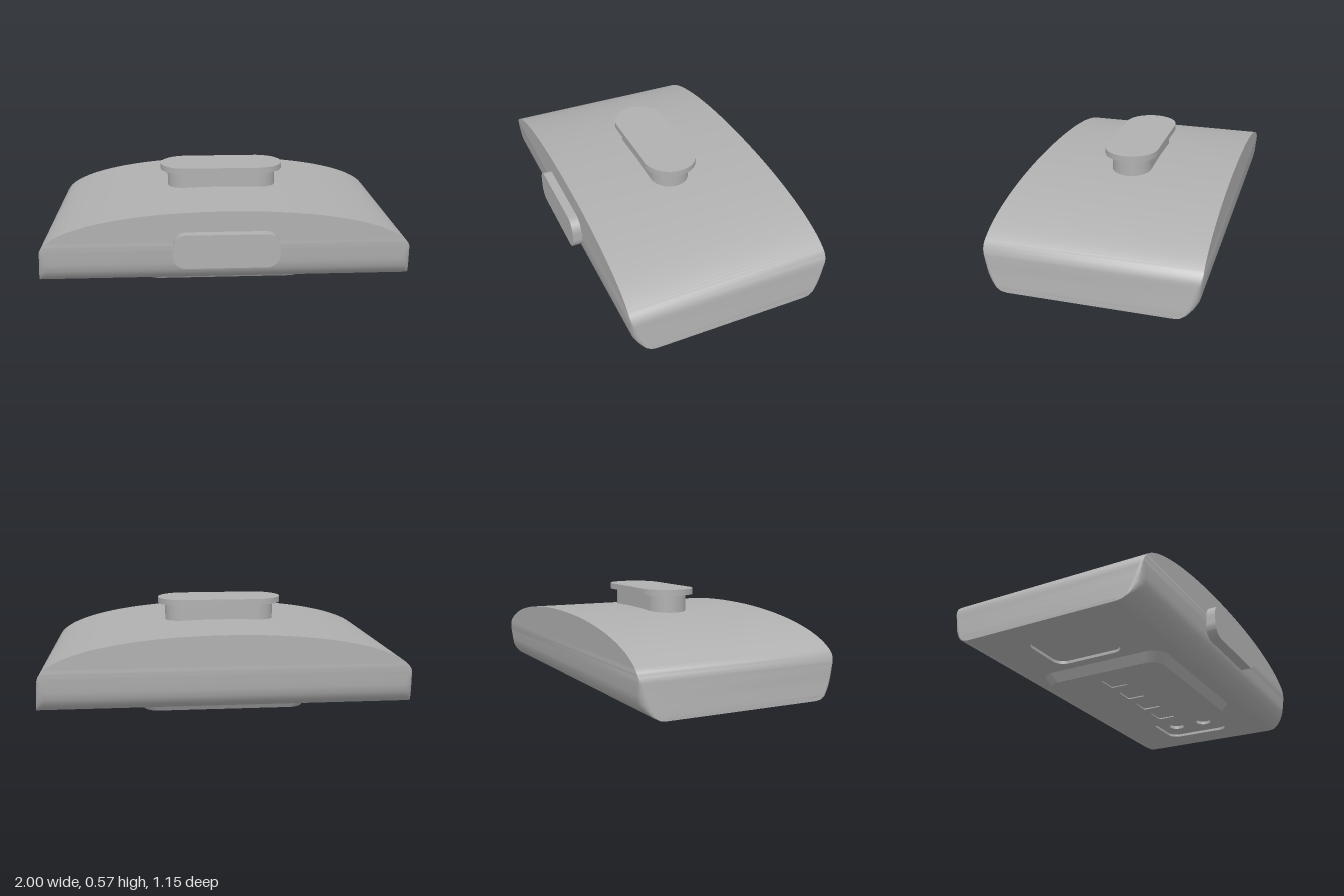
import * as THREE from 'three';
import { toCreasedNormals } from 'three/addons/utils/BufferGeometryUtils.js';

const ZC = -0.022; // middle of the body in depth

export function createModel() {
  const model = new THREE.Group();
  const grey = new THREE.MeshStandardMaterial({ color: 0xb0b0b0 });

  function add(name, geometry) {
    const mesh = new THREE.Mesh(toCreasedNormals(geometry, 0.6), grey);
    mesh.name = name;
    model.add(mesh);
    return mesh;
  }

  // Rounded rectangle with half sizes a, b and corner radius r
  function roundRect(a, b, r, cx = 0, cy = 0, Type = THREE.Shape) {
    const s = new Type();
    s.absarc(cx + a - r, cy + b - r, r, 0, Math.PI / 2);
    s.absarc(cx - a + r, cy + b - r, r, Math.PI / 2, Math.PI);
    s.absarc(cx - a + r, cy - b + r, r, Math.PI, Math.PI * 1.5);
    s.absarc(cx + a - r, cy - b + r, r, Math.PI * 1.5, Math.PI * 2);
    s.closePath();
    return s;
  }

  // Horizontal slab of a plan shape (shape y becomes z) between two heights
  function slab(shape, y0, y1) {
    return new THREE.ExtrudeGeometry(shape, { depth: y1 - y0, bevelEnabled: false, curveSegments: 16 })
      .rotateX(Math.PI / 2)
      .translate(0, y1, ZC);
  }

  // Body shell: plan outlines stacked from the bottom edge to the crown
  const depthProfile = [[0.05, 0.42], [0.055, 0.455], [0.07, 0.485], [0.085, 0.504], [0.1, 0.519],
    [0.13, 0.538], [0.17, 0.545], [0.22, 0.549], [0.28, 0.553], [1, 0.553]];
  function halfDepth(y) {
    let i = 1;
    while (depthProfile[i][0] < y) i++;
    const [y0, d0] = depthProfile[i - 1], [y1, d1] = depthProfile[i];
    return d0 + (d1 - d0) * (y - y0) / (y1 - y0);
  }
  const rows = [0.05, 0.055, 0.07, 0.085, 0.1, 0.13, 0.17].map(y => [1 - 0.02 * (y - 0.05) / 0.17, y]);
  const ARC = 36;
  for (let i = 0; i <= ARC; i++) {
    const t = (i / ARC) * Math.PI / 2, p = 2 / 2.1;
    rows.push([i === ARC ? 0 : 0.98 * Math.cos(t) ** p, 0.22 + 0.236 * Math.sin(t) ** p]);
  }
  const CORNER = 8, RING = 4 * (CORNER + 1);
  const pos = [], idx = [];
  rows.forEach(([w, y], i) => {
    const d = halfDepth(y);
    const flat = Math.min(d, 0.553 - 0.078 * Math.max(0, (0.28 - y) / 0.21));
    const rz = d - flat, rx = Math.min(w, rz * 1.3);
    for (let q = 0; q < 4; q++) {
      const sx = q === 0 || q === 3 ? 1 : -1, sz = q < 2 ? -1 : 1;
      for (let k = 0; k <= CORNER; k++) {
        const a = (q + k / CORNER) * Math.PI / 2;
        pos.push(sx * (w - rx) + rx * Math.cos(a), y, ZC + sz * flat - rz * Math.sin(a));
      }
    }
    if (i === 0) return;
    for (let j = 0; j < RING; j++) {
      const n = (j + 1) % RING, lo = (i - 1) * RING, hi = i * RING;
      idx.push(lo + j, lo + n, hi + n, lo + j, hi + n, hi + j);
    }
  });
  const shell = new THREE.BufferGeometry();
  shell.setAttribute('position', new THREE.Float32BufferAttribute(pos, 3));
  shell.setIndex(idx);
  add('bodyShell', shell);

  // Underside with two shallow recesses
  const under = new THREE.Shape([[-1, -0.42], [1, -0.42], [1, 0.42], [-1, 0.42]].map(p => new THREE.Vector2(...p)));
  for (const side of [1, -1]) under.holes.push(roundRect(0.15, 0.2, 0.06, side * 0.68, 0, THREE.Path));
  add('underside', slab(under, 0.05, 0.066));

  // Recess floors; the left one has two round sockets
  const socketFloor = roundRect(0.17, 0.22, 0.06, 0.68);
  for (const z of [-0.095, 0.095]) {
    const socket = new THREE.Path();
    socket.absarc(0.68, z, 0.047, 0, Math.PI * 2);
    socketFloor.holes.push(socket);
  }
  add('socketPanel', slab(socketFloor, 0.066, 0.086));
  add('socketBottom', slab(roundRect(0.17, 0.22, 0.06, 0.68), 0.086, 0.092));
  add('plainPanel', slab(roundRect(0.17, 0.22, 0.06, -0.68), 0.066, 0.076));

  // Foot pad, widening upward, with a row of shallow slots
  function taper(geometry) {
    const p = geometry.attributes.position;
    for (let i = 0; i < p.count; i++) {
      const f = p.getY(i) / 0.05;
      p.setX(i, p.getX(i) * (1 + 0.068 * f));
      p.setZ(i, ZC + (p.getZ(i) - ZC) * (1 + 0.087 * f));
    }
    return geometry;
  }
  const padFace = roundRect(0.44, 0.345, 0.08);
  for (let i = 0; i < 4; i++) {
    padFace.holes.push(roundRect(0.055, 0.05, 0.004, -0.285 + i * 0.19, 0, THREE.Path));
  }
  add('footPadFace', taper(slab(padFace, 0, 0.006)));
  add('footPad', taper(slab(roundRect(0.44, 0.345, 0.08), 0.006, 0.052)));

  // Top post and its wider cap
  add('topPost', slab(roundRect(0.31, 0.108, 0.1079), 0.42, 0.542));
  add('topCap', slab(roundRect(0.35, 0.147, 0.1469), 0.542, 0.575));

  // Front button
  const button = new THREE.ExtrudeGeometry(roundRect(0.28, 0.0925, 0.07),
    { depth: 0.08, bevelEnabled: false, curveSegments: 16 });
  add('frontButton', button.translate(0, 0.2525, 0.5));

  return model;
}
